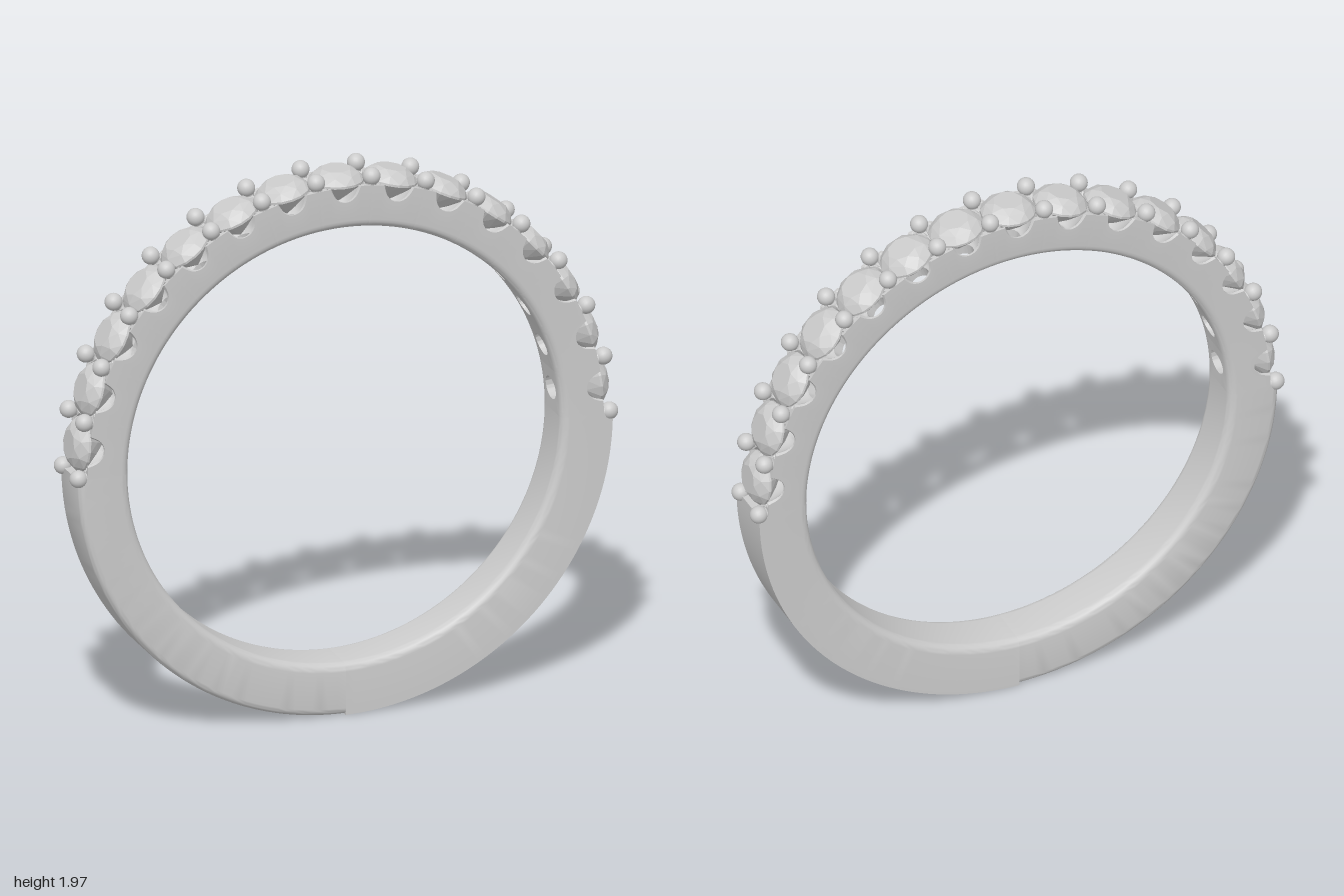
import * as THREE from 'three';
import { toCreasedNormals } from 'three/addons/utils/BufferGeometryUtils.js';
import { ConvexGeometry } from 'three/addons/geometries/ConvexGeometry.js';

const CENTER_Y = 0.975, INNER = 0.787, OUTER = 0.973, HALF_W = 0.095;
const ROUND = 0.03;           // rounding of the inner edges
const RIM = 0.94;             // band radius between the stones
const STONES = 15, STEP = Math.PI / STONES;
const HOLE = 0.048, HOLE_TOP = 0.83;

const metal = new THREE.MeshStandardMaterial({ color: 0xcccccc, side: THREE.DoubleSide });
const gem = new THREE.MeshStandardMaterial({ color: 0xcccccc, flatShading: true });

// quarter arc in (radius, z), from angle a0 to a1
function arc(r, z, rad, a0, a1, n = 6) {
  return Array.from({ length: n + 1 }, (_, i) => {
    const a = a0 + (a1 - a0) * i / n;
    return new THREE.Vector2(r + rad * Math.cos(a), z + rad * Math.sin(a));
  });
}

// closed band section; the outer edges get a fillet or stay sharp
function section(fillet) {
  const H = Math.PI / 2, w = HALF_W;
  const outer = fillet
    ? [...arc(OUTER - fillet, fillet - w, fillet, -H, 0), ...arc(OUTER - fillet, w - fillet, fillet, 0, H)]
    : [new THREE.Vector2(OUTER, -w), new THREE.Vector2(OUTER, w)];
  const inner = [...arc(INNER + ROUND, w - ROUND, ROUND, H, 2 * H), ...arc(INNER + ROUND, ROUND - w, ROUND, 2 * H, 3 * H)];
  return [...outer, ...inner];
}

// plain lower quarter of the band, with both end faces
function shankQuarter(name, start, fillet) {
  const group = new THREE.Group();
  group.name = name;
  const pts = section(fillet);
  const sweep = new THREE.LatheGeometry([...pts, pts[0].clone()], 48, start, Math.PI / 2);
  sweep.rotateX(Math.PI / 2);
  group.add(new THREE.Mesh(toCreasedNormals(sweep, 0.6), metal));
  for (const a of [start, start + Math.PI / 2]) {
    const cap = new THREE.ShapeGeometry(new THREE.Shape(pts));
    cap.rotateX(Math.PI / 2).rotateZ(a - Math.PI / 2);
    group.add(new THREE.Mesh(cap, metal));
  }
  return group;
}

// one stone's share of the upper band: bowl seat, drilled hole, scalloped sides
function settingGeometry() {
  const nT = 32, nZ = 10, half = RIM * STEP / 2, border = [];
  for (let i = 0; i < nT; i++) border.push([-1 + 2 * i / nT, -1]);
  for (let i = 0; i < nZ; i++) border.push([1, -1 + 2 * i / nZ]);
  for (let i = 0; i < nT; i++) border.push([1 - 2 * i / nT, 1]);
  for (let i = 0; i < nZ; i++) border.push([-1, 1 - 2 * i / nZ]);

  const place = (x, z, r) => [r * Math.sin(x / RIM), r * Math.cos(x / RIM), z];
  const columns = border.map(([u, v]) => {
    const x = u * half, z = v * HALF_W, phi = Math.atan2(z, x);
    const hx = HOLE * Math.cos(phi), hz = HOLE * Math.sin(phi);
    // U-shaped scallop in the side wall
    const notch = Math.abs(v) === 1 ? Math.sqrt(Math.max(0, 1 - (x / 0.052) ** 2)) : 0;
    const top = RIM - 0.056 * notch;
    const col = [];
    for (let i = 6; i >= 0; i--) {
      const f = i / 6, px = hx + (x - hx) * f, pz = hz + (z - hz) * f;
      const rise = ((Math.hypot(px, pz) - HOLE) / 0.05) ** 2;
      col.push(place(px, pz, Math.min(top, HOLE_TOP + (RIM - HOLE_TOP) * rise)));
    }
    col.push(place(hx, hz, INNER));
    for (let i = 0; i <= 5; i++) {
      const a = Math.PI / 2 * i / 5;
      col.push(place(x, v * (HALF_W - ROUND + ROUND * Math.sin(a)), INNER + ROUND * (1 - Math.cos(a))));
    }
    col.push(place(x, z, top));
    return col;
  });

  const pos = [];
  border.forEach((_, i) => {
    const j = (i + 1) % border.length, A = columns[i], B = columns[j];
    const onSide = border[i][1] === border[j][1];
    const rows = onSide ? A.length - 1 : 8;   // neighbours close the other two sides
    for (let k = 0; k < rows; k++) {
      pos.push(...A[k], ...A[k + 1], ...B[k], ...B[k], ...A[k + 1], ...B[k + 1]);
    }
  });
  const geo = new THREE.BufferGeometry();
  geo.setAttribute('position', new THREE.Float32BufferAttribute(pos, 3));
  geo.computeVertexNormals();
  return toCreasedNormals(geo, 0.6);
}

// round faceted stone: table, crown, girdle, pavilion, culet
function stoneGeometry() {
  const pts = [new THREE.Vector3(0, 0.855, 0)];
  const ring = (rad, y, n, turn = 0) => {
    for (let i = 0; i < n; i++) {
      const a = (i + turn) / n * Math.PI * 2;
      pts.push(new THREE.Vector3(rad * Math.cos(a), y, rad * Math.sin(a)));
    }
  };
  ring(0.052, 0.98, 8);
  ring(0.078, 0.965, 8, 0.5);
  ring(0.096, 0.942, 16);
  ring(0.096, 0.934, 16);
  ring(0.052, 0.893, 8, 0.5);
  return new ConvexGeometry(pts);
}

export function createModel() {
  const model = new THREE.Group();
  model.name = 'ring';
  const ring = new THREE.Group();
  ring.name = 'ringParts';
  ring.position.y = CENTER_Y;
  model.add(ring);

  // lower half: sharp outer edges on the left, filleted on the right
  ring.add(shankQuarter('leftShank', 0, 0));
  ring.add(shankQuarter('rightShank', -Math.PI / 2, 0.025));

  // settings and stones over the upper half
  const setting = settingGeometry(), stone = stoneGeometry();
  const add = (geo, mat, name, angle) => {
    const mesh = new THREE.Mesh(geo, mat);
    mesh.name = name;
    mesh.rotation.z = angle;
    ring.add(mesh);
  };
  for (let i = 0; i < STONES; i++) {
    const angle = (i - (STONES - 1) / 2) * STEP;
    add(setting, metal, 'setting', angle);
    add(stone, gem, 'stone', angle);
  }

  // pairs of ball-tipped prongs between the stones
  const spike = new THREE.CylinderGeometry(0.024, 0.003, 0.1, 16).translate(0, 0.91, 0);
  const ball = new THREE.SphereGeometry(0.031, 20, 14).translate(0, 0.967, 0);
  for (let i = 0; i <= STONES; i++) {
    for (const side of [-1, 1]) {
      const prong = new THREE.Group();
      prong.name = 'prong';
      prong.add(new THREE.Mesh(spike, metal), new THREE.Mesh(ball, metal));
      prong.position.z = side * 0.075;
      prong.rotation.z = (i - STONES / 2) * STEP;
      ring.add(prong);
    }
  }
  return model;
}
